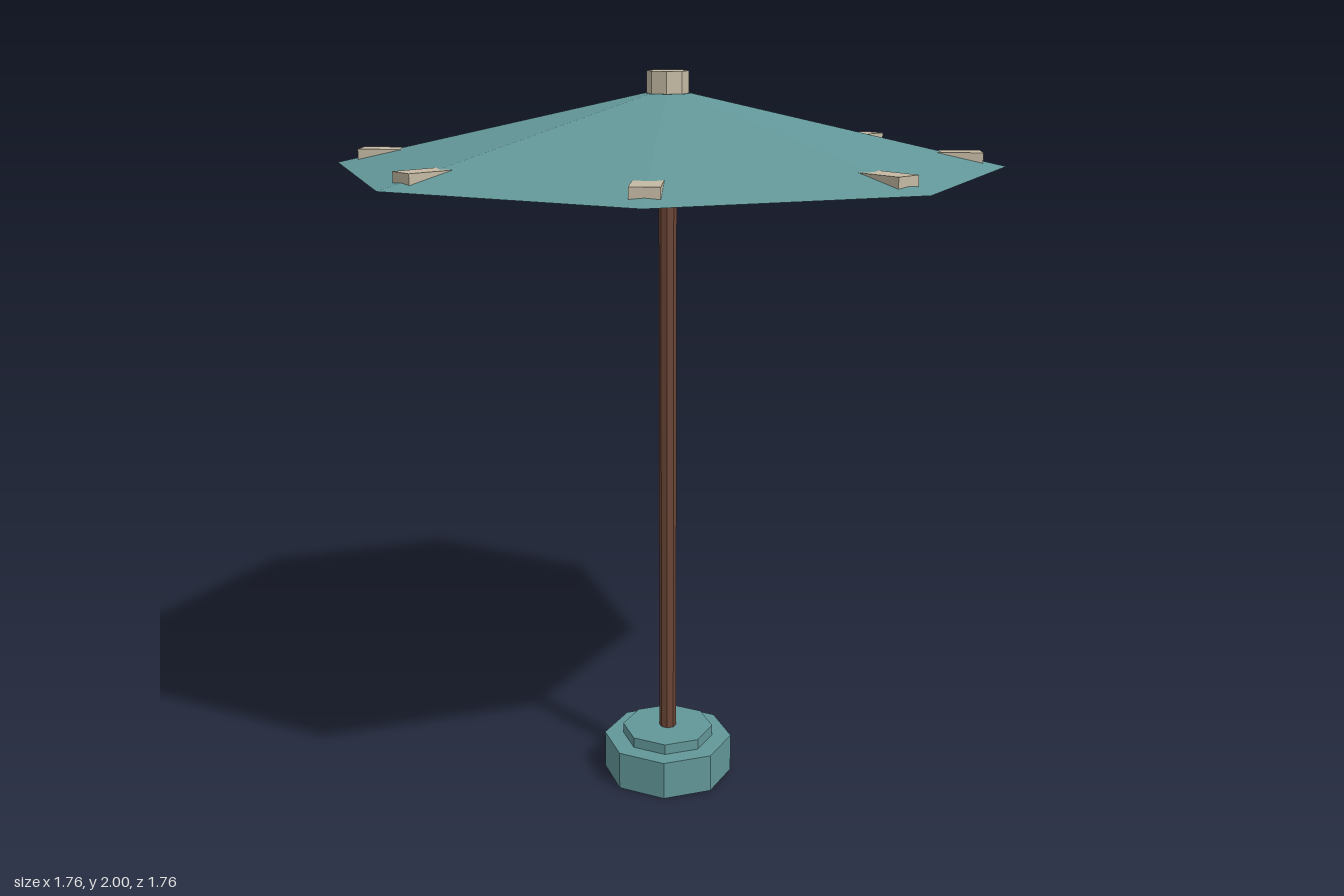
import * as THREE from 'three';

function flat(name, color) {
  const m = new THREE.MeshStandardMaterial({ color, flatShading: true });
  m.name = name;
  return m;
}

export function createModel() {
  const teal = flat('teal', 0x639799);
  const wood = flat('darkWood', 0x6b4535);
  const beige = flat('beige', 0xc4b9a3);
  const model = new THREE.Group();
  model.name = 'parasol';

  // Octagonal prism or frustum between two heights, corners on the axes
  function octagon(name, material, rTop, rBottom, y0, y1) {
    const mesh = new THREE.Mesh(new THREE.CylinderGeometry(rTop, rBottom, y1 - y0, 8), material);
    mesh.name = name;
    mesh.position.y = (y0 + y1) / 2;
    model.add(mesh);
  }

  // Stepped foot, pole, canopy with a flat underside, and top cap
  octagon('foot', teal, 0.184, 0.184, 0, 0.11);
  octagon('footStep', teal, 0.13, 0.13, 0.11, 0.14);
  octagon('pole', wood, 0.024, 0.024, 0.14, 1.76);
  octagon('canopy', teal, 0.062, 0.88, 1.76, 1.943);
  octagon('topCap', beige, 0.055, 0.055, 1.943, 2);

  // Level clip sunk into each ridge of the canopy
  const clipGeometry = new THREE.BoxGeometry(0.07, 0.032, 0.155);
  clipGeometry.translate(0, 1.782, 0.7375);
  for (let i = 0; i < 8; i++) {
    const clip = new THREE.Mesh(clipGeometry, beige);
    clip.name = 'ribClip' + (i + 1);
    clip.rotation.y = (i * Math.PI) / 4;
    model.add(clip);
  }
  return model;
}
